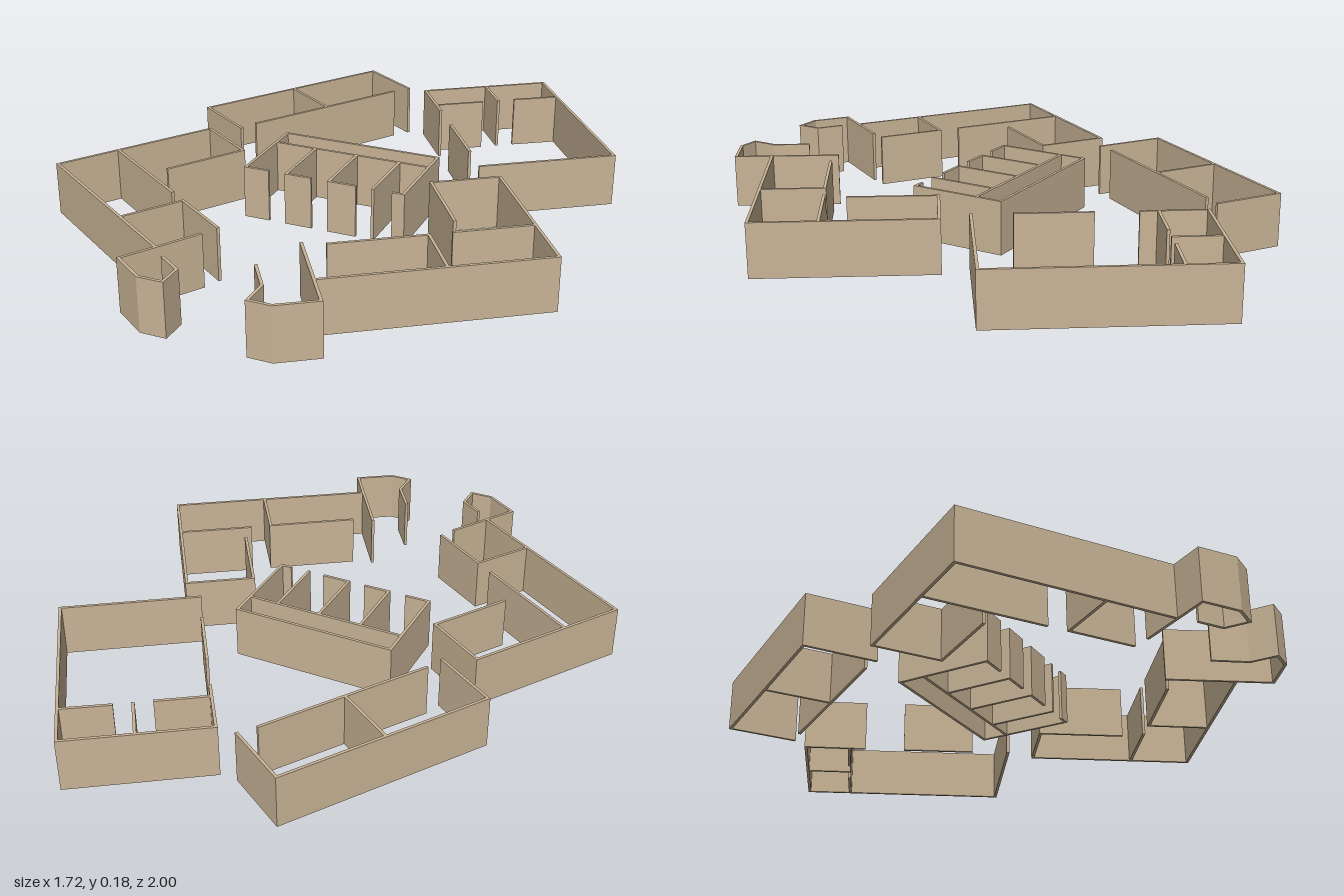
import * as THREE from 'three';

const HEIGHT = 0.18;
const HALF = 0.005; // half the wall thickness

// Extrudes an open run of [x, z] points into a wall with mitred corners
function wallGeometry(run) {
  const pts = run.map(([x, z]) => new THREE.Vector2(x, -z));
  const normals = pts.slice(1).map((p, i) => {
    const d = p.clone().sub(pts[i]).normalize();
    return new THREE.Vector2(-d.y, d.x);
  });
  const offsets = pts.map((p, i) => {
    const a = normals[Math.max(i - 1, 0)];
    const b = normals[Math.min(i, normals.length - 1)];
    const m = a.clone().add(b).normalize();
    return m.multiplyScalar(HALF / m.dot(a));
  });
  const left = pts.map((p, i) => p.clone().add(offsets[i]));
  const right = pts.map((p, i) => p.clone().sub(offsets[i])).reverse();
  const geometry = new THREE.ExtrudeGeometry(new THREE.Shape([...left, ...right]), {
    depth: HEIGHT, bevelEnabled: false,
  });
  return geometry.rotateX(-Math.PI / 2);
}

// Each building is a list of wall runs in plan
const buildings = {
  backRightBuilding: {
    outerWall: [[-0.037, -0.73], [-0.238, -0.86], [-0.643, -0.25], [-0.438, -0.116]],
    innerWall: [[-0.08, -0.68], [-0.414, -0.175]],
    partition: [[-0.44, -0.555], [-0.25, -0.43]],
  },
  backLeftBuilding: {
    outerWall: [[0.438, -0.122], [0.828, -0.39], [0.415, -0.994], [0.03, -0.732], [0.153, -0.555]],
    innerWall: [[0.23, -0.44], [0.37, -0.233]],
    sidePartition: [[0.12, -0.605], [0.265, -0.703]],
    middlePartition: [[0.227, -0.865], [0.317, -0.735]],
    cornerPartition: [[0.507, -0.865], [0.365, -0.772]],
  },
  centralBuilding: {
    outerWall: [[-0.185, 0.185], [-0.27, 0.185], [-0.27, -0.137], [0.288, -0.137], [0.288, 0.185], [0.25, 0.185]],
    corridorWall: [[-0.27, -0.048], [0.288, -0.048]],
    firstStall: [[-0.122, -0.048], [-0.122, 0.185], [-0.032, 0.185]],
    secondStall: [[0.03, -0.048], [0.03, 0.185], [0.125, 0.185]],
    thirdStall: [[0.184, -0.048], [0.184, 0.19]],
  },
  frontRightBuilding: {
    outerWall: [[-0.5, 0.303], [-0.343, 0.063], [-0.539, -0.067], [-0.854, 0.41], [-0.243, 0.815]],
    partition: [[-0.73, 0.23], [-0.39, 0.458]],
    roomWall: [[-0.449, 0.677], [-0.33, 0.5], [-0.137, 0.63]],
    entranceWall: [[-0.164, 0.683], [-0.308, 0.915], [-0.2, 0.99], [-0.12, 0.99], [-0.12, 0.91], [-0.197, 0.857]],
  },
  frontLeftBuilding: {
    outerWall: [[0.5, 0.305], [0.337, 0.063], [0.528, -0.067], [0.852, 0.41], [0.264, 0.81]],
    partition: [[0.734, 0.233], [0.518, 0.38]],
    roomWall: [[0.204, 0.598], [0.46, 0.423], [0.58, 0.598]],
    entranceWall: [[0.132, 0.619], [0.329, 0.915], [0.217, 0.99], [0.143, 0.99], [0.143, 0.9], [0.072, 0.797]],
  },
};

export function createModel() {
  const plaster = new THREE.MeshStandardMaterial({ color: 0xc8b496 });
  plaster.name = 'sandPlaster';
  const model = new THREE.Group();
  model.name = 'walledCompound';
  for (const [buildingName, walls] of Object.entries(buildings)) {
    const building = new THREE.Group();
    building.name = buildingName;
    for (const [wallName, run] of Object.entries(walls)) {
      const wall = new THREE.Mesh(wallGeometry(run), plaster);
      wall.name = wallName;
      building.add(wall);
    }
    model.add(building);
  }
  return model;
}
